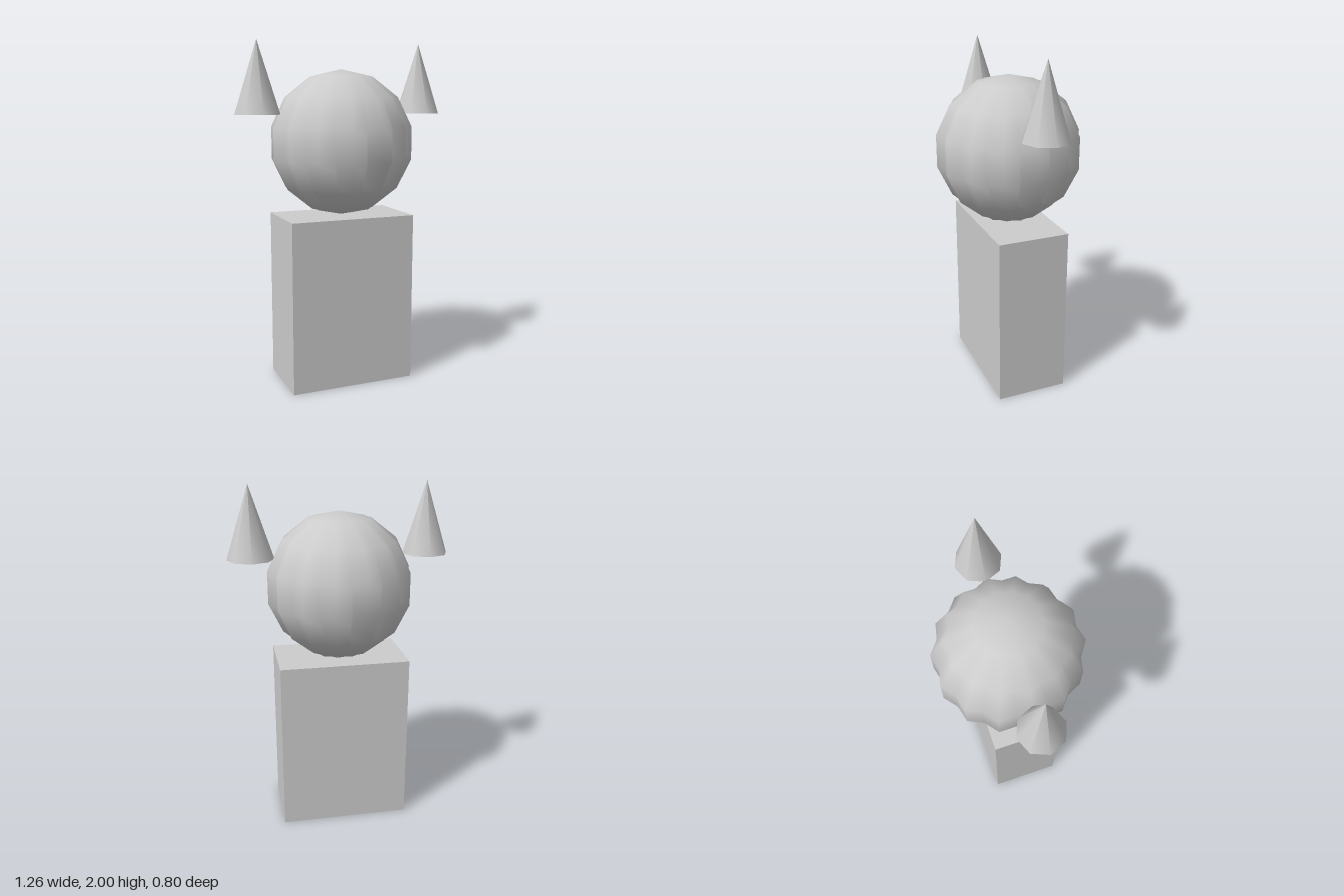
import * as THREE from 'three';

export function createModel() {
  const model = new THREE.Group();
  const grey = new THREE.MeshStandardMaterial({ color: 0xcccccc, side: THREE.DoubleSide });
  grey.name = 'lightGrey';

  const add = (name, geometry, x, y, z) => {
    const mesh = new THREE.Mesh(geometry, grey);
    mesh.name = name;
    mesh.position.set(x, y, z);
    model.add(mesh);
    return mesh;
  };

  // Upright block for the body
  add('body', new THREE.BoxGeometry(0.75, 1, 0.416), 0, 0.5, 0);

  // Seven-sided ball, doubled and turned half round so the facets interleave
  const ball = new THREE.SphereGeometry(0.4225, 7, 7);
  add('head', ball, 0, 1.4225, 0);
  add('headTurned', ball, 0, 1.4225, 0).rotation.y = Math.PI;

  // Hollow, open-bottomed cones beside the head
  const cone = new THREE.ConeGeometry(0.132, 0.41, 8, 1, true);
  for (const [name, side] of [['leftEar', 1], ['rightEar', -1]]) {
    add(name, cone, side * 0.5, 1.795, 0);
  }

  return model;
}
